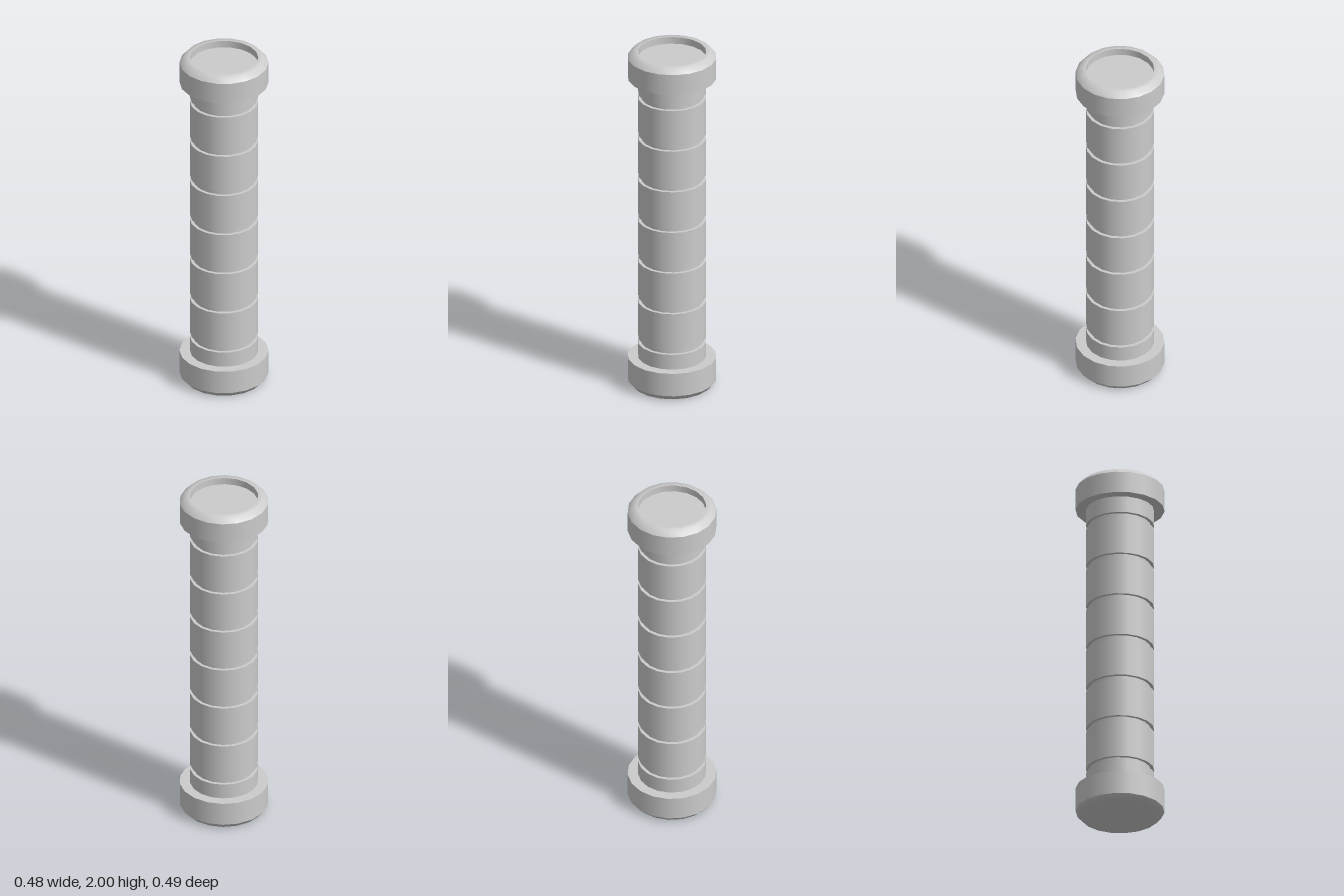
import * as THREE from 'three';
import { mergeGeometries } from 'three/addons/utils/BufferGeometryUtils.js';

const SIDES = 18;
const SHAFT_R = 0.187, GROOVE_R = 0.169, CAP_R = 0.244, CHAMFER_R = 0.217;
const material = new THREE.MeshStandardMaterial({ color: 0xcccccc });

// Turned part: each strip is smooth along its profile, with hard edges between strips
function turned(name, strips) {
  const parts = strips.map(s =>
    new THREE.LatheGeometry(s.map(([r, y]) => new THREE.Vector2(r, y)), SIDES));
  const mesh = new THREE.Mesh(mergeGeometries(parts), material);
  mesh.name = name;
  return mesh;
}

// Splits a profile so that every corner is a hard edge
const hard = pts => pts.slice(1).map((p, i) => [pts[i], p]);

export function createModel() {
  const group = new THREE.Group();
  group.name = 'groovedHandle';

  // Bottom collar with a softly shaded chamfer and closed base
  group.add(turned('bottomCollar', [
    [[0, 0], [CHAMFER_R, 0], [CAP_R, 0.03]],
    ...hard([[CAP_R, 0.03], [CAP_R, 0.165], [SHAFT_R, 0.165]]),
  ]));

  // Shaft with seven evenly spaced ring grooves
  const profile = [[SHAFT_R, 0.165]];
  for (let i = 0; i < 7; i++) {
    const y = 0.267 + i * 0.2455, h = 0.0135;
    profile.push([SHAFT_R, y - h], [GROOVE_R, y - h], [GROOVE_R, y + h], [SHAFT_R, y + h]);
  }
  profile.push([SHAFT_R, 1.848]);
  group.add(turned('groovedShaft', hard(profile)));

  // Top collar with chamfered rim and shallow round recess
  group.add(turned('topCollar', [
    ...hard([[SHAFT_R, 1.848], [CAP_R, 1.848], [CAP_R, 1.97]]),
    [[CAP_R, 1.97], [CHAMFER_R, 2], [0.188, 2]],
    ...hard([[0.188, 2], [0.188, 1.96], [0, 1.96]]),
  ]));

  return group;
}
